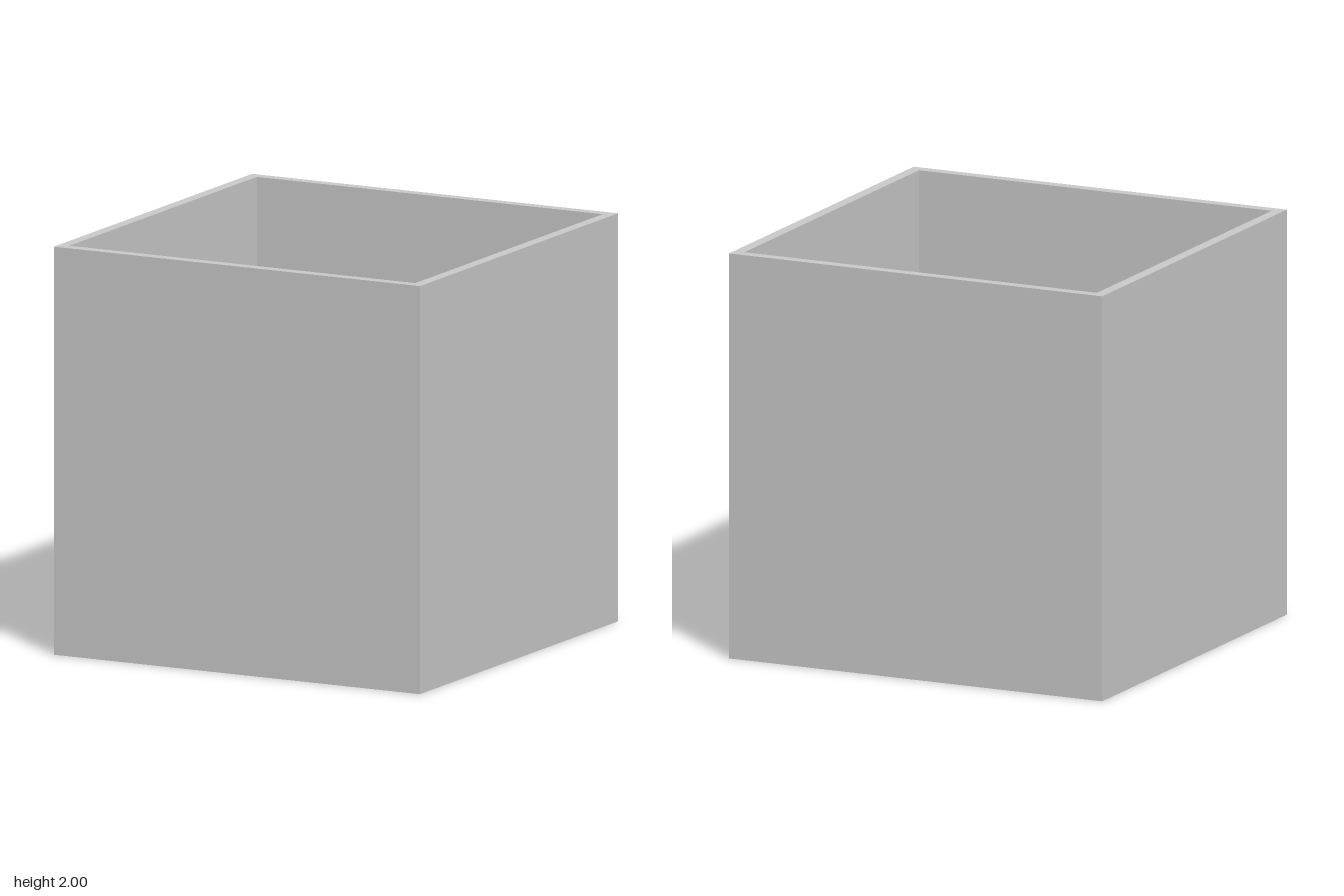
import * as THREE from 'three';

export function createModel() {
  const model = new THREE.Group();
  const mat = new THREE.MeshStandardMaterial({ color: 0xcccccc, flatShading: true, side: THREE.DoubleSide });
  const W = 0.055, IN = 1 - W;            // wall thickness, inner half width
  const LOW = 0.055, HIGH = 0.185;        // the two floor levels

  const add = (name, geometry) => {
    const mesh = new THREE.Mesh(geometry, mat);
    mesh.name = name;
    model.add(mesh);
    return mesh;
  };
  // Box given by its limits on each axis
  const block = (name, x0, x1, y0, y1, z0, z1) =>
    add(name, new THREE.BoxGeometry(x1 - x0, y1 - y0, z1 - z0))
      .position.set((x0 + x1) / 2, (y0 + y1) / 2, (z0 + z1) / 2);
  // Prism along z from an outline in x, y
  const prismZ = (name, pts, z0, z1) => {
    const shape = new THREE.Shape(pts.map(p => new THREE.Vector2(...p)));
    add(name, new THREE.ExtrudeGeometry(shape, { depth: z1 - z0, bevelEnabled: false })).position.z = z0;
  };
  // Prism along x from an outline in z, y
  const prismX = (name, pts, x0, x1) => {
    const shape = new THREE.Shape(pts.map(([z, y]) => new THREE.Vector2(-z, y)));
    const geo = new THREE.ExtrudeGeometry(shape, { depth: x1 - x0, bevelEnabled: false });
    geo.rotateY(Math.PI / 2);
    add(name, geo).position.x = x0;
  };

  // Outer walls: a square ring extruded upwards
  const ring = new THREE.Shape([[-1, -1], [1, -1], [1, 1], [-1, 1]].map(p => new THREE.Vector2(...p)));
  ring.holes.push(new THREE.Path([[-IN, -IN], [-IN, IN], [IN, IN], [IN, -IN]].map(p => new THREE.Vector2(...p))));
  const walls = new THREE.ExtrudeGeometry(ring, { depth: 2, bevelEnabled: false });
  walls.rotateX(-Math.PI / 2);
  add('outerWalls', walls);

  // Floors and the short ramp between them
  block('lowerFloor', -IN, IN, 0, LOW, -IN, IN);
  block('raisedFloor', 0.2, IN, LOW, HIGH, -IN, IN);
  block('landing', -0.2, 0.2, LOW, HIGH, 0.7, IN);
  prismZ('lowerRamp', [[-0.37, LOW], [-0.2, LOW], [-0.2, HIGH]], 0.7, IN);

  // Half-pipe beside the raised floor
  const pipe = [[-0.57, LOW], [-0.57, 0.235], [-0.53, 0.235]];
  for (let i = 1; i < 10; i++) {
    const a = Math.PI * i / 10;
    pipe.push([-0.365 - 0.165 * Math.cos(a), 0.235 - 0.165 * Math.sin(a)]);
  }
  pipe.push([-0.2, 0.235], [-0.16, 0.235], [-0.16, LOW]);
  prismX('halfPipe', pipe, -0.04, 0.2);

  // Steep ramp and the back row of platforms
  const TOP = 0.54;
  prismZ('upperRamp', [[0.41, HIGH], [0.74, HIGH], [0.41, TOP]], -IN, -0.79);
  block('backPlatform', 0.07, 0.41, LOW, TOP, -IN, -0.79);
  block('backPlatform', -0.32, -0.03, LOW, TOP, -IN, -0.79);
  block('cornerPlatform', -IN, -0.41, LOW, TOP, -IN, -0.79);
  block('cornerPlatform', -IN, -0.805, LOW, TOP, -0.79, -0.56);

  // Side row with a tilted step
  prismX('tiltedStep', [[-0.505, LOW], [-0.505, TOP], [-0.35, TOP + 0.08], [-0.35, LOW]], -IN, -0.805);
  block('sideStep', -IN, -0.805, LOW, TOP + 0.08, -0.3, -0.17);
  block('sidePlatform', -IN, -0.805, LOW, TOP + 0.1, -0.17, 0.06);
  block('sidePlatform', -0.805, -0.67, LOW, TOP + 0.1, -0.015, 0.06);

  // Stepping blocks leading to the funnel
  block('steppingBlock', -0.58, -0.44, LOW, TOP + 0.1, -0.015, 0.06);
  for (const z of [-0.015, -0.145, -0.28, -0.415])
    block('steppingBlock', -0.35, -0.215, LOW, TOP + 0.1, z, z + 0.075);

  // Round pedestal with a funnel in its top
  const profile = [[0.115, LOW], [0.115, 0.64], [0.105, 0.64], [0.045, 0.55], [0, 0.5]];
  add('funnel', new THREE.LatheGeometry(profile.map(p => new THREE.Vector2(...p)), 32))
    .position.set(-0.285, 0, -0.57);

  return model;
}
